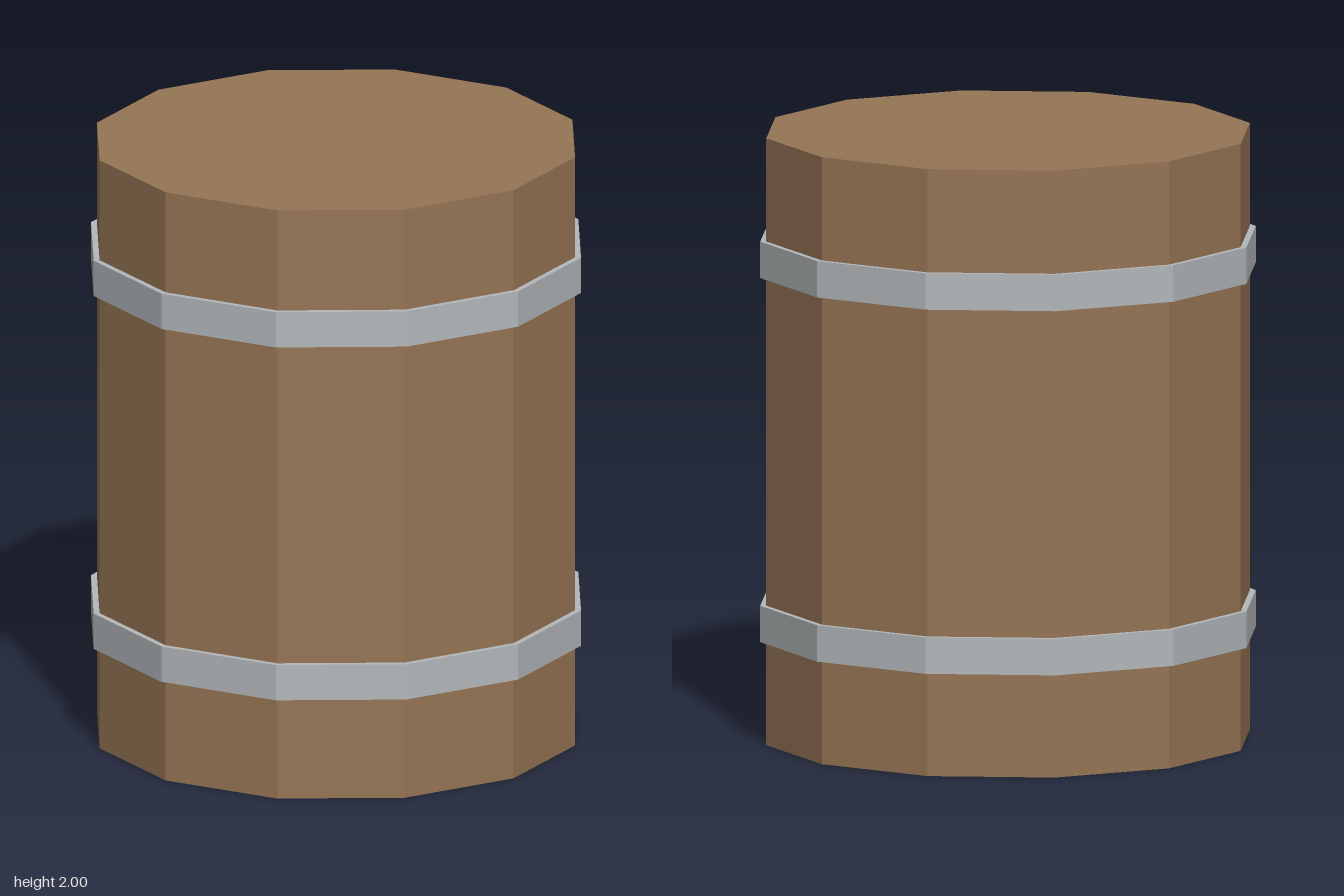
import * as THREE from 'three';

const SIDES = 12;

export function createModel() {
  const wood = new THREE.MeshStandardMaterial({ color: 0x967555, flatShading: true });
  wood.name = 'wood';
  const metal = new THREE.MeshStandardMaterial({ color: 0xb4b8bb, flatShading: true });
  metal.name = 'metal';

  const barrel = new THREE.Group();
  barrel.name = 'barrel';

  // Upright twelve-sided prism centred on height y
  const addPrism = (name, radius, height, y, material) => {
    const mesh = new THREE.Mesh(new THREE.CylinderGeometry(radius, radius, height, SIDES), material);
    mesh.name = name;
    mesh.position.y = y;
    barrel.add(mesh);
  };

  // Wooden body
  addPrism('body', 0.8, 2, 1, wood);

  // Metal hoops near the bottom and top
  addPrism('lowerHoop', 0.82, 0.12, 0.4, metal);
  addPrism('upperHoop', 0.82, 0.12, 1.6, metal);

  return barrel;
}
